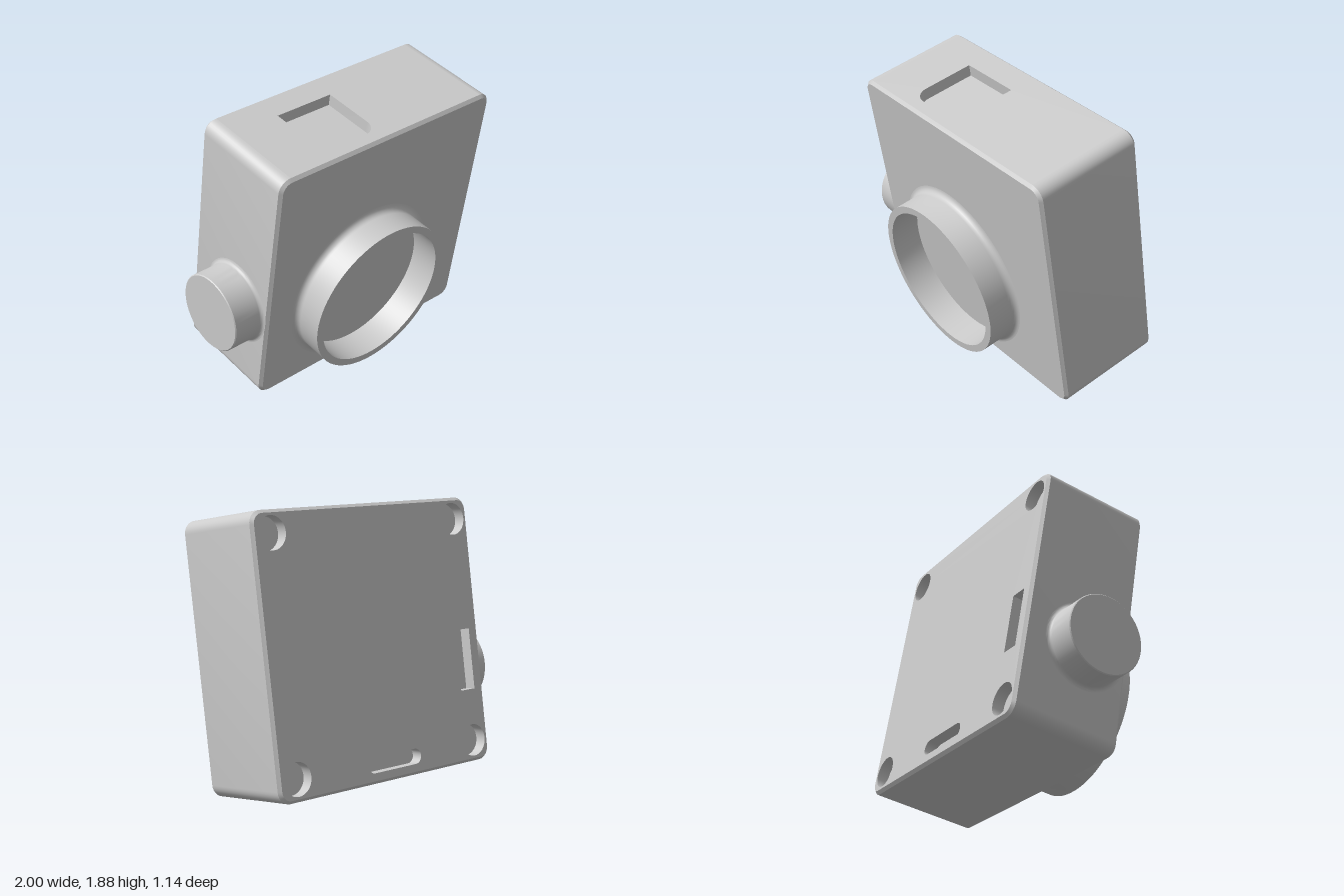
import * as THREE from 'three';
import { toCreasedNormals } from 'three/addons/utils/BufferGeometryUtils.js';

const SIZE = 1.785, DEPTH = 0.755, CORNER = 0.085, CHAMFER = 0.02, TILT = 0.16;
const material = new THREE.MeshStandardMaterial({ color: 0xcccccc });

function addMesh(parent, name, geometry) {
  const mesh = new THREE.Mesh(toCreasedNormals(geometry, 0.5), material);
  mesh.name = name;
  parent.add(mesh);
  return mesh;
}

// Counter-clockwise rounded rectangle, starting at the left end of its top edge.
// Radii run: top left, bottom left, bottom right, top right.
function roundRect(w, h, radii, cx = 0, cy = 0, segments = 8) {
  const signs = [[-1, 1], [-1, -1], [1, -1], [1, 1]];
  const points = [];
  signs.forEach(([sx, sy], k) => {
    const r = radii[k], n = r > 0 ? segments : 0;
    for (let i = 0; i <= n; i++) {
      const a = (Math.PI / 2) * (k + 1 + (n ? i / n : 0));
      points.push(new THREE.Vector2(
        cx + sx * (w / 2 - r) + r * Math.cos(a),
        cy + sy * (h / 2 - r) + r * Math.sin(a)));
    }
  });
  return points;
}

// Wall between two matching outlines at heights z0 and z1.
function wall(from, z0, to, z1, closed = true) {
  const positions = [];
  const count = from.length - (closed ? 0 : 1);
  for (let i = 0; i < count; i++) {
    const j = (i + 1) % from.length;
    const a = [from[i].x, from[i].y, z0], b = [from[j].x, from[j].y, z0];
    const c = [to[j].x, to[j].y, z1], d = [to[i].x, to[i].y, z1];
    positions.push(...a, ...b, ...c, ...a, ...c, ...d);
  }
  const geometry = new THREE.BufferGeometry();
  geometry.setAttribute('position', new THREE.Float32BufferAttribute(positions, 3));
  return geometry;
}

// Flat panel facing +z with recesses sunk into it.
function panel(name, outline, recesses) {
  const group = new THREE.Group();
  group.name = name;
  const face = new THREE.Shape(outline);
  for (const { part, points, depth } of recesses) {
    face.holes.push(new THREE.Path(points));
    addMesh(group, part + 'Wall', wall(points, 0, points, -depth));
    addMesh(group, part + 'Floor', new THREE.ShapeGeometry(new THREE.Shape(points))).position.z = -depth;
  }
  addMesh(group, name + 'Face', new THREE.ShapeGeometry(face));
  return group;
}

// Concave fillet profile from a flat base up into a cylinder of the given radius.
function fillet(radius, f, steps = 6) {
  return Array.from({ length: steps + 1 }, (_, i) => {
    const a = (i / steps) * Math.PI / 2;
    return new THREE.Vector2(radius + f - f * Math.sin(a), f - f * Math.cos(a));
  });
}

export function createModel() {
  const model = new THREE.Group();
  model.name = 'tiltedDevice';
  const device = new THREE.Group();
  device.name = 'device';
  device.position.set(0.1075, 0.938, -0.0575);
  device.rotation.x = TILT;
  model.add(device);

  // Case shell: chamfered front and back edges, side band left open for the top panel
  const half = DEPTH / 2, inner = SIZE - 2 * CHAMFER;
  const outer = roundRect(SIZE, SIZE, Array(4).fill(CORNER));
  const inset = roundRect(inner, inner, Array(4).fill(CORNER - CHAMFER));
  addMesh(device, 'backChamfer', wall(inset, -half, outer, -half + CHAMFER));
  addMesh(device, 'caseSides', wall(outer, -half + CHAMFER, outer, half - CHAMFER, false));
  addMesh(device, 'frontChamfer', wall(outer, half - CHAMFER, inset, half));
  const front = panel('frontPanel', inset, []);
  front.position.z = half;
  device.add(front);

  // Top panel with a pocket, rounded toward the front
  const top = panel('topPanel',
    roundRect(SIZE - 2 * CORNER, DEPTH - 2 * CHAMFER, [0, 0, 0, 0]),
    [{ part: 'topPocket', points: roundRect(0.435, 0.452, [0, 0.1, 0.1, 0], -0.25, -0.051), depth: 0.08 }]);
  top.rotation.x = -Math.PI / 2;
  top.position.y = SIZE / 2;
  device.add(top);

  // Back panel (its own x runs opposite to the model's): corner recesses and two slots
  const recesses = [
    { part: 'roundedSlot', points: roundRect(0.45, 0.1, Array(4).fill(0.05), 0.04, -0.772), depth: 0.08 },
    { part: 'squareSlot', points: roundRect(0.125, 0.41, [0, 0, 0, 0], 0.745, -0.2), depth: 0.08 },
  ];
  for (const x of [-0.75, 0.75]) for (const y of [-0.75, 0.75]) {
    // Quarter arcs share end points, so drop the duplicates
    const circle = new THREE.EllipseCurve(x, y, 0.107, 0.107).getPoints(40).slice(0, -1);
    recesses.push({ part: 'footRecess', points: circle, depth: 0.08 });
  }
  const back = panel('backPanel', inset, recesses);
  back.rotation.y = Math.PI;
  back.position.z = -half;
  device.add(back);

  // Front ring with a filleted base
  const ringHeight = 0.21, ringRadius = 0.553, boreRadius = 0.502;
  const ring = addMesh(device, 'frontRing', new THREE.LatheGeometry([
    ...fillet(ringRadius, 0.045),
    new THREE.Vector2(ringRadius, ringHeight),
    new THREE.Vector2(boreRadius, ringHeight),
    new THREE.Vector2(boreRadius, 0),
  ], 72));
  ring.rotation.x = Math.PI / 2;
  ring.position.set(-0.09, -0.262, half);

  // Side knob with a filleted base
  const knobLength = 1.1075 - SIZE / 2, knobRadius = 0.267;
  const knob = addMesh(device, 'sideKnob', new THREE.LatheGeometry([
    ...fillet(knobRadius, 0.03),
    new THREE.Vector2(knobRadius, knobLength - 0.006),
    new THREE.Vector2(knobRadius - 0.006, knobLength),
    new THREE.Vector2(0, knobLength),
  ], 56));
  knob.rotation.z = Math.PI / 2;
  knob.position.set(-SIZE / 2, -0.262, 0.065);

  return model;
}
